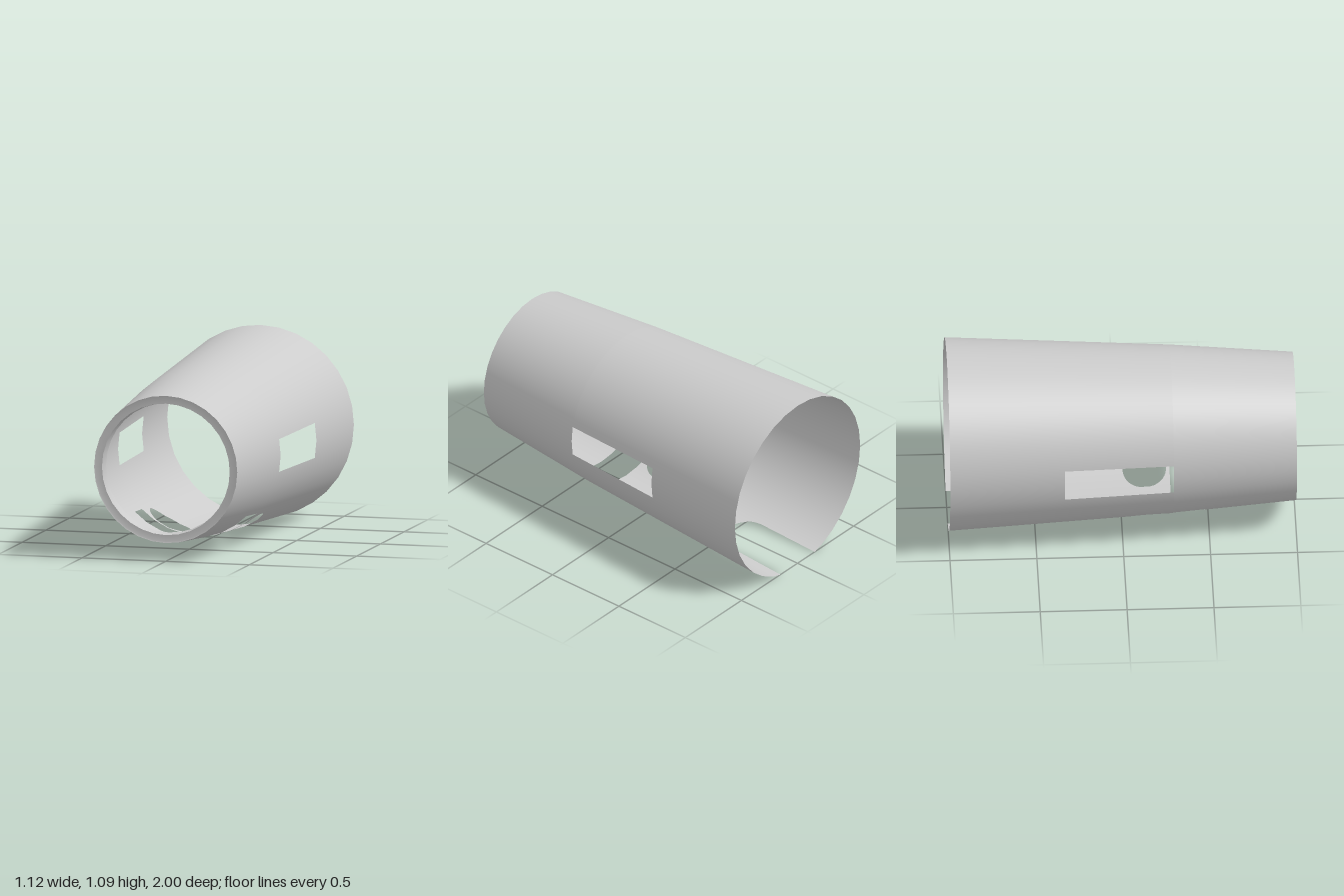
import * as THREE from 'three';
import { toCreasedNormals } from 'three/addons/utils/BufferGeometryUtils.js';

const CY = 0.536;                 // height of the sleeve axis
const SIDES = 32, SUB = 12;       // facets, and fine columns per facet
const FACET = Math.PI * 2 / SIDES;
const STEP = FACET / SUB;
const KINK = 0.29;                // z where the taper changes
const R_FRONT = 0.428, R_KINK = 0.486, R_BACK = 0.558;
const SLOPE_FRONT = (R_KINK - R_FRONT) / (1 - KINK);
const SLOPE_BACK = (R_BACK - R_KINK) / (1 + KINK);

const radius = z => z > KINK ? R_FRONT + (1 - z) * SLOPE_FRONT : R_KINK + (KINK - z) * SLOPE_BACK;

// Round hole, drilled straight up from below: [top z, bottom z] at an angle from the bottom
const HOLE = { x: 0.21, z: 0.145, r: 0.125 };
function holeSpan(phi) {
  const dx = radius(HOLE.z) * Math.sin(Math.abs(phi)) - HOLE.x;
  const h = Math.sqrt(Math.max(0, HOLE.r ** 2 - dx * dx));
  return [HOLE.z + h, HOLE.z - h];
}

// Notch open at the back, with rounded corners
const NOTCH_ANGLE = 17 * STEP, NOTCH_Z = -0.47, NOTCH_R = 0.13;
function notchSpan(phi) {
  const d = Math.max(0, NOTCH_R - (NOTCH_ANGLE - Math.abs(phi)) * 0.54);
  return [NOTCH_Z - NOTCH_R + Math.sqrt(Math.max(0, NOTCH_R ** 2 - d * d)), -1];
}

// Cutouts crossing a column, ordered from front to back
function cutsAt(mid) {
  const m = Math.abs(mid), cuts = [];
  if (m < Math.PI / 4) cuts.push(() => [0.475, KINK]);                        // cross slot
  if (Math.abs(m - Math.PI / 2) < FACET) cuts.push(() => [KINK, -0.34]);      // side window
  const [a, b] = holeSpan(mid);
  if (a - b > 0.001 && m < Math.PI / 2) cuts.push(holeSpan);
  if (m < NOTCH_ANGLE) cuts.push(notchSpan);
  return cuts;
}

function shellGeometry() {
  const pos = [], nor = [], idx = [];
  const vertex = (phi, z, slope) => {
    const local = phi - (Math.floor(phi / FACET + 1e-6) + 0.5) * FACET;
    const r = radius(z) * Math.cos(FACET / 2) / Math.cos(local);
    const n = new THREE.Vector3(Math.sin(phi), -Math.cos(phi), slope).normalize();
    pos.push(r * Math.sin(phi), CY - r * Math.cos(phi), z);
    nor.push(n.x, n.y, n.z);
  };
  const quad = (a, b, topA, topB, lowA, lowB) => {
    if (topA - lowA < 1e-5 && topB - lowB < 1e-5) return;
    const i = pos.length / 3, slope = topA + lowA > 2 * KINK ? SLOPE_FRONT : SLOPE_BACK;
    vertex(a, topA, slope);
    vertex(b, topB, slope);
    vertex(b, lowB, slope);
    vertex(a, lowA, slope);
    idx.push(i, i + 3, i + 2, i, i + 2, i + 1);
  };
  // Solid wall between two cut edges, split at the change of taper
  const wall = (a, b, top, low) => {
    if (top[0] > KINK && low[0] < KINK) {
      quad(a, b, top[0], top[1], KINK, KINK);
      quad(a, b, KINK, KINK, low[0], low[1]);
    } else quad(a, b, top[0], top[1], low[0], low[1]);
  };
  const half = SIDES * SUB / 2;
  for (let i = -half; i < half; i++) {
    const a = i * STEP, b = a + STEP;
    let top = [1, 1];
    for (const cut of cutsAt((a + b) / 2)) {
      const ca = cut(a), cb = cut(b);
      wall(a, b, top, [ca[0], cb[0]]);
      top = [ca[1], cb[1]];
    }
    wall(a, b, top, [-1, -1]);
  }
  const g = new THREE.BufferGeometry();
  g.setAttribute('position', new THREE.Float32BufferAttribute(pos, 3));
  g.setAttribute('normal', new THREE.Float32BufferAttribute(nor, 3));
  g.setIndex(idx);
  return g;
}

// Inner collar at the narrow front end
function collarGeometry() {
  const profile = [[0.428, 1], [0.42, 0.997], [0.382, 0.997], [0.376, 0.93], [0.433, 0.93]]
    .map(([r, z]) => new THREE.Vector2(r, z));
  const g = new THREE.LatheGeometry(profile, SIDES);
  g.rotateX(Math.PI / 2);
  return toCreasedNormals(g, 0.5);
}

export function createModel() {
  const group = new THREE.Group();
  group.name = 'taperedSleeve';
  const material = new THREE.MeshStandardMaterial({ color: 0xcccccc, side: THREE.DoubleSide });

  const shell = new THREE.Mesh(shellGeometry(), material);
  shell.name = 'shell';
  group.add(shell);

  const collar = new THREE.Mesh(collarGeometry(), material);
  collar.name = 'frontCollar';
  collar.position.y = CY;
  group.add(collar);

  return group;
}
